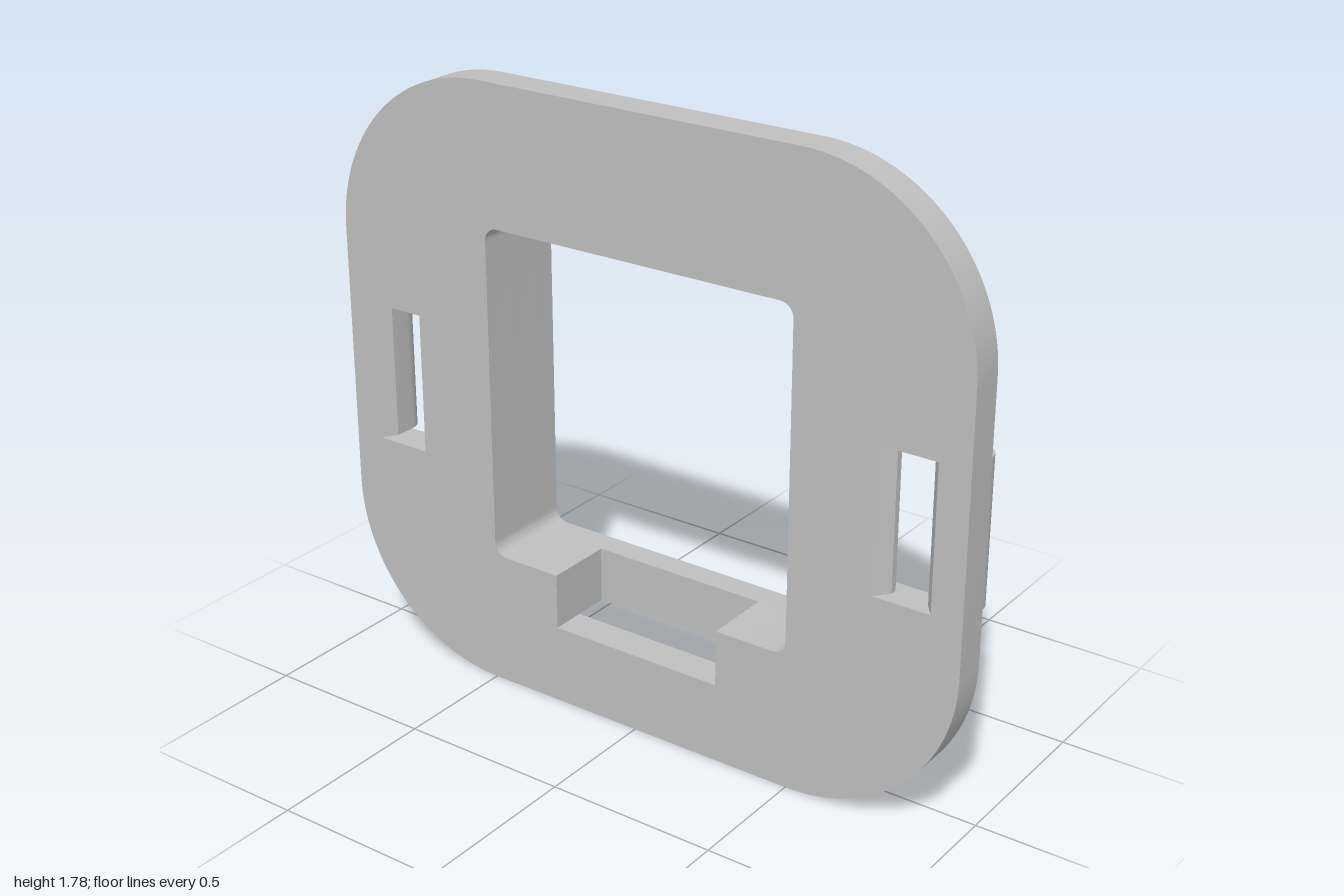
import * as THREE from 'three';
import { toCreasedNormals } from 'three/addons/utils/BufferGeometryUtils.js';

const OPEN = [0.49, 0.40, 1.38, 0.04];    // half width, bottom, top, corner radius
const COLLAR = [0.555, 0.34, 1.445, 0.105];
const TAB_Y = 0.235, NOTCH = 0.27, TAB = 0.34;
const BACK = -0.14, SEAT = 0.04, FRONT = 0.14;

// Four rounded corners, starting and ending on the bottom edge
function corners(path, [hw, y0, y1, r], clockwise = false) {
  const q = Math.PI / 2;
  const list = [
    [hw - r, y0 + r, -q], [hw - r, y1 - r, 0],
    [-hw + r, y1 - r, q], [-hw + r, y0 + r, 2 * q],
  ];
  if (clockwise) list.reverse();
  for (const [x, y, a] of list) {
    if (clockwise) path.absarc(x, y, r, a + q, a, true);
    else path.absarc(x, y, r, a, a + q, false);
  }
  return path;
}

// Rounded rectangle, optionally with a rectangular lobe below its bottom edge
function frame(path, rect, lobe = 0) {
  if (lobe) {
    path.moveTo(-lobe, rect[1]);
    path.lineTo(-lobe, TAB_Y);
    path.lineTo(lobe, TAB_Y);
    path.lineTo(lobe, rect[1]);
  } else {
    path.moveTo(0, rect[1]);
  }
  corners(path, rect);
  path.closePath();
  return path;
}

function extrude(shape, depth) {
  const geo = new THREE.ExtrudeGeometry(shape, { depth, bevelEnabled: false, curveSegments: 20 });
  return toCreasedNormals(geo, 0.5);
}

export function createModel() {
  const model = new THREE.Group();
  const grey = new THREE.MeshStandardMaterial({ color: 0xbfbfbf });
  grey.name = 'grey plastic';

  const add = (name, geo) => {
    const mesh = new THREE.Mesh(geo, grey);
    mesh.name = name;
    model.add(mesh);
  };
  const slab = (name, shape, z0, z1) => add(name, extrude(shape, z1 - z0).translate(0, 0, z0));

  // Face plate with main opening, cable notch and two strap slots
  const slotY0 = 0.655, slotY1 = 1.07;
  const plate = frame(new THREE.Shape(), [1, 0, 1.78, 0.5]);
  plate.holes.push(frame(new THREE.Path(), OPEN, NOTCH));
  for (const s of [-1, 1]) {
    plate.holes.push(new THREE.Path([
      [0.74, slotY0], [0.91, slotY0], [0.91, slotY1], [0.74, slotY1], [0.74, slotY0],
    ].map(([x, y]) => new THREE.Vector2(s * x, y))));
  }
  slab('facePlate', plate, SEAT, FRONT);

  // Rear layer of the collar, closing the back of the notch
  const rear = frame(new THREE.Shape(), COLLAR, TAB);
  rear.holes.push(frame(new THREE.Path(), OPEN));
  slab('collarRear', rear, BACK, -0.065);

  // Front layer of the collar, with the notch open to below
  const ring = new THREE.Shape();
  ring.moveTo(NOTCH, TAB_Y);
  ring.lineTo(TAB, TAB_Y);
  ring.lineTo(TAB, COLLAR[1]);
  corners(ring, COLLAR);
  ring.lineTo(-TAB, COLLAR[1]);
  ring.lineTo(-TAB, TAB_Y);
  ring.lineTo(-NOTCH, TAB_Y);
  ring.lineTo(-NOTCH, OPEN[1]);
  corners(ring, OPEN, true);
  ring.lineTo(NOTCH, OPEN[1]);
  ring.closePath();
  slab('collarFront', ring, -0.065, SEAT);

  // Strap slot edges: bevelled inner ridge, and outer bar with a half-round back
  const upright = (name, points) => {
    const shape = new THREE.Shape(points.map(([x, z]) => new THREE.Vector2(x, -z)));
    const geo = extrude(shape, slotY1 - slotY0);
    add(name, geo.rotateX(-Math.PI / 2).translate(0, slotY0, 0));
  };
  const round = [];
  for (let i = 0; i <= 20; i++) {
    const a = Math.PI * (1 - i / 20);
    round.push([0.94 + 0.06 * Math.cos(a), SEAT - 0.06 * Math.sin(a)]);
  }
  const ridge = [[0.74, FRONT], [0.775, 0.1], [0.775, 0.08], [0.74, SEAT]];
  const bar = [[0.91, FRONT], [0.88, 0.1], ...round, [0.91, SEAT]];
  for (const [side, s] of [['left', 1], ['right', -1]]) {
    upright(side + 'SlotRidge', ridge.map(([x, z]) => [s * x, z]));
    upright(side + 'StrapBar', bar.map(([x, z]) => [s * x, z]));
  }
  return model;
}
